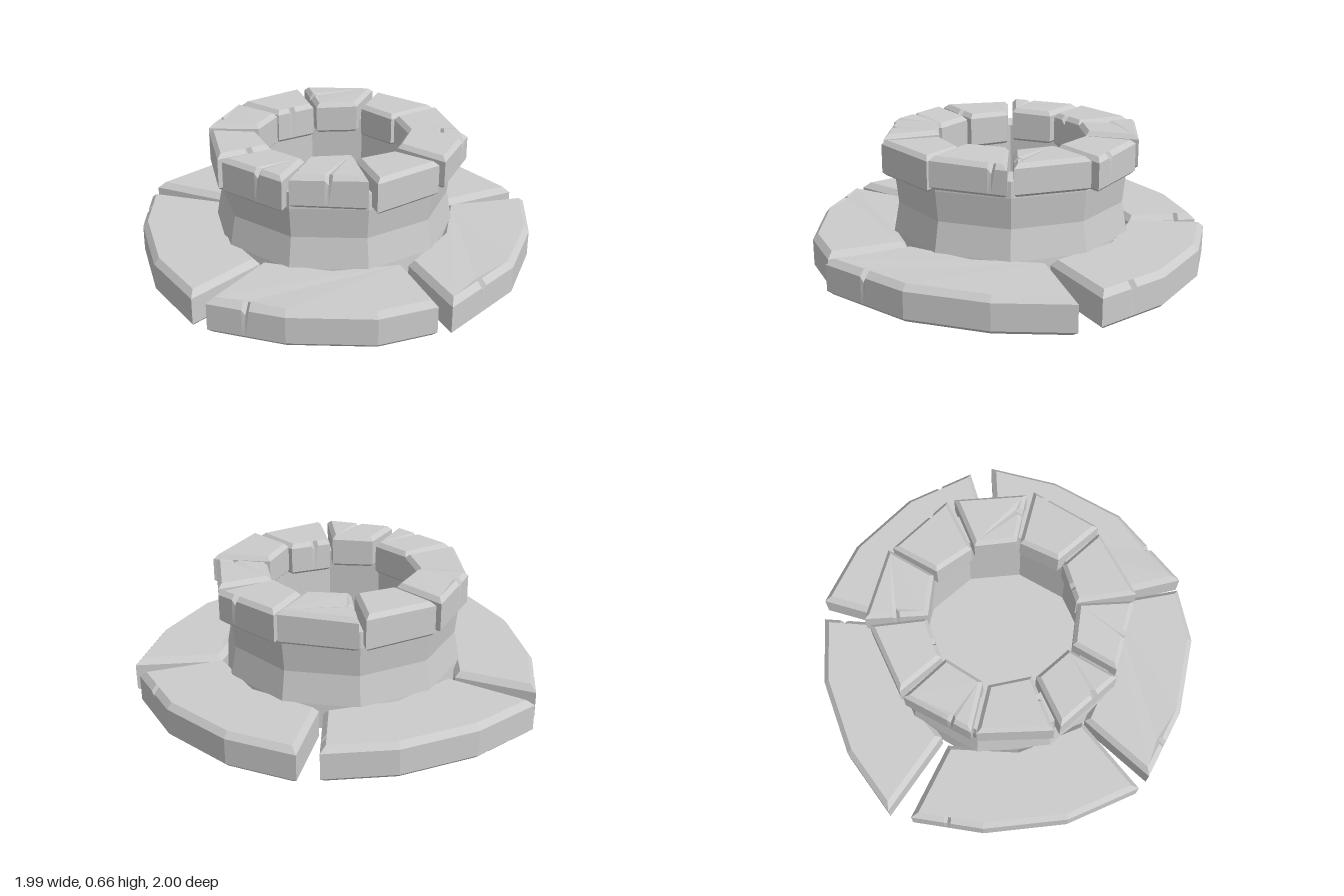
import * as THREE from 'three';

const stone = new THREE.MeshStandardMaterial({ color: 0xcccccc, flatShading: true });
const CX = 0.01, CZ = -0.03; // centre of the round wall

// Splits an edge of an outline into a small V chip: [x, z, chipped]
function addChip(outline, edge, t, width = 0.035) {
  const pts = outline.map(p => [p[0], p[1], 0]);
  const a = pts[edge], b = pts[(edge + 1) % pts.length];
  const d = width / 2 / Math.hypot(b[0] - a[0], b[1] - a[1]);
  const at = (s, chip) => [a[0] + (b[0] - a[0]) * s, a[1] + (b[1] - a[1]) * s, chip];
  pts.splice(edge + 1, 0, at(t - d, 0), at(t, 1), at(t + d, 0));
  return pts;
}

// Bevelled stone from a clockwise outline (seen from above), with optional chip and tilt
function stoneBlock(name, outline, y0, y1, bevel, chip, topShift = () => 0) {
  const src = chip ? addChip(outline, ...chip) : outline.map(p => [p[0], p[1], 0]);
  const pts = src.map(([x, z, c]) => ({ v: new THREE.Vector2(x, -z), c })).reverse();
  const n = pts.length;
  const normal = (p, q) => {
    const d = q.clone().sub(p).normalize();
    return new THREE.Vector2(-d.y, d.x);
  };
  const inward = pts.map(({ v }, i) => {
    const n1 = normal(pts[(i + n - 1) % n].v, v), n2 = normal(v, pts[(i + 1) % n].v);
    return n1.clone().add(n2).divideScalar(1 + n1.dot(n2));
  });
  // rings: height, inset, extra inset and extra drop at a chip
  const rings = [
    [y0, bevel * 0.6, 0, 0],
    [y0 + bevel * 0.6, 0, 0, 0],
    [y1 - bevel, 0, 0.004, 0.025],
    [y1, bevel * 0.85, 0.02, 0.006],
  ];
  const pos = [], idx = [];
  rings.forEach(([y, inset, cIn, cDrop], r) => pts.forEach(({ v, c }, i) => {
    const p = v.clone().addScaledVector(inward[i], inset + c * cIn);
    pos.push(p.x, y - c * cDrop + (r > 1 ? topShift(p.x, -p.y) : 0), -p.y);
  }));
  for (let r = 0; r < rings.length - 1; r++) {
    for (let i = 0; i < n; i++) {
      const j = (i + 1) % n, a = r * n + i, b = r * n + j;
      idx.push(a, b, b + n, a, b + n, a + n);
    }
  }
  const top = (rings.length - 1) * n;
  for (const [a, b, c] of THREE.ShapeUtils.triangulateShape(pts.map(p => p.v.clone()), [])) {
    idx.push(top + a, top + b, top + c, c, b, a);
  }
  const geo = new THREE.BufferGeometry();
  geo.setAttribute('position', new THREE.Float32BufferAttribute(pos, 3));
  geo.setIndex(idx);
  const flat = geo.toNonIndexed();
  flat.computeVertexNormals();
  const mesh = new THREE.Mesh(flat, stone);
  mesh.name = name;
  return mesh;
}

export function createModel() {
  const well = new THREE.Group();
  well.name = 'stoneWell';

  // Ten-sided wall with a slight waist, hollow inside and closed at the bottom
  const profile = [[0, 0.06], [0.61, 0.06], [0.6, 0.18], [0.572, 0.33], [0.588, 0.48],
    [0.585, 0.56], [0.43, 0.56], [0.43, 0.1], [0, 0.1]].map(p => new THREE.Vector2(...p));
  const wall = new THREE.Mesh(new THREE.LatheGeometry(profile, 10, Math.PI / 10), stone);
  wall.name = 'wall';
  wall.position.set(CX, 0, CZ);
  well.add(wall);

  // Five uneven paving slabs: four outer corners, two inner corners, and a chip
  const slabs = [
    { p: [[-0.535, -0.84], [-0.21, -0.975], [0.18, -1], [0.545, -0.9], [0.36, -0.51], [-0.33, -0.51]], chip: [2, 0.5] },
    { p: [[0.655, -0.85], [0.86, -0.54], [0.985, -0.16], [0.96, 0.33], [0.59, 0.135], [0.385, -0.515]], chip: [2, 0.5] },
    { p: [[0.91, 0.365], [0.765, 0.615], [0.44, 0.855], [0.09, 0.985], [0.045, 0.56], [0.58, 0.165]], chip: [2, 0.5] },
    { p: [[0.01, 0.995], [-0.36, 0.875], [-0.705, 0.63], [-0.935, 0.35], [-0.56, 0.195], [0.03, 0.56]], chip: [2, 0.5] },
    { p: [[-1, 0.25], [-0.965, -0.115], [-0.82, -0.485], [-0.6, -0.76], [-0.36, -0.51], [-0.555, 0.14]], chip: [3, 0.3] },
  ];
  const paving = new THREE.Group();
  paving.name = 'paving';
  slabs.forEach(({ p, chip }, i) => {
    // bend the inner edge around the wall
    const mx = (p[4][0] + p[5][0]) / 2 - CX, mz = (p[4][1] + p[5][1]) / 2 - CZ;
    const s = 0.57 / Math.hypot(mx, mz);
    const outline = [...p.slice(0, 5), [CX + mx * s, CZ + mz * s], p[5]];
    paving.add(stoneBlock('pavingSlab' + (i + 1), outline, 0.005, 0.183, 0.03, chip));
  });
  well.add(paving);

  // Ten rim stones, each with its own height, tilt and chip
  const rim = new THREE.Group();
  rim.name = 'rim';
  const bottoms = [0.475, 0.5, 0.48, 0.505, 0.5, 0.485, 0.5, 0.485, 0.49, 0.472];
  const tops = [0.648, 0.664, 0.65, 0.662, 0.655, 0.652, 0.664, 0.66, 0.662, 0.65];
  const reach = [0.61, 0.6, 0.615, 0.625, 0.61, 0.615, 0.625, 0.61, 0.605, 0.605];
  const chips = [[0, 0.4], [0, 0.5], [2, 0.4], [0, 0.2], [1, 0.4], [0, 0.7], [3, 0.5], [2, 0.6], [0, 0.3], [3, 0.4]];
  for (let k = 0; k < 10; k++) {
    const ro = reach[k], ri = 0.355, skew = 0.012 * Math.sin(k * 2.3);
    const ho = ro * 0.325 - 0.016, hi = ri * 0.325 - 0.011;
    const outline = [[ho, ro + skew], [-ho, ro - skew], [-hi, ri + skew], [hi, ri - skew]];
    const tilt = (x, z) => 0.025 * Math.sin(k * 1.7) * x + 0.03 * Math.cos(k * 2.9) * (z - 0.48);
    const block = stoneBlock('rimStone' + (k + 1), outline, bottoms[k], tops[k], 0.022, chips[k], tilt);
    block.rotation.y = k * Math.PI / 5;
    rim.add(block);
  }
  rim.position.set(CX, 0, CZ);
  well.add(rim);

  return well;
}
